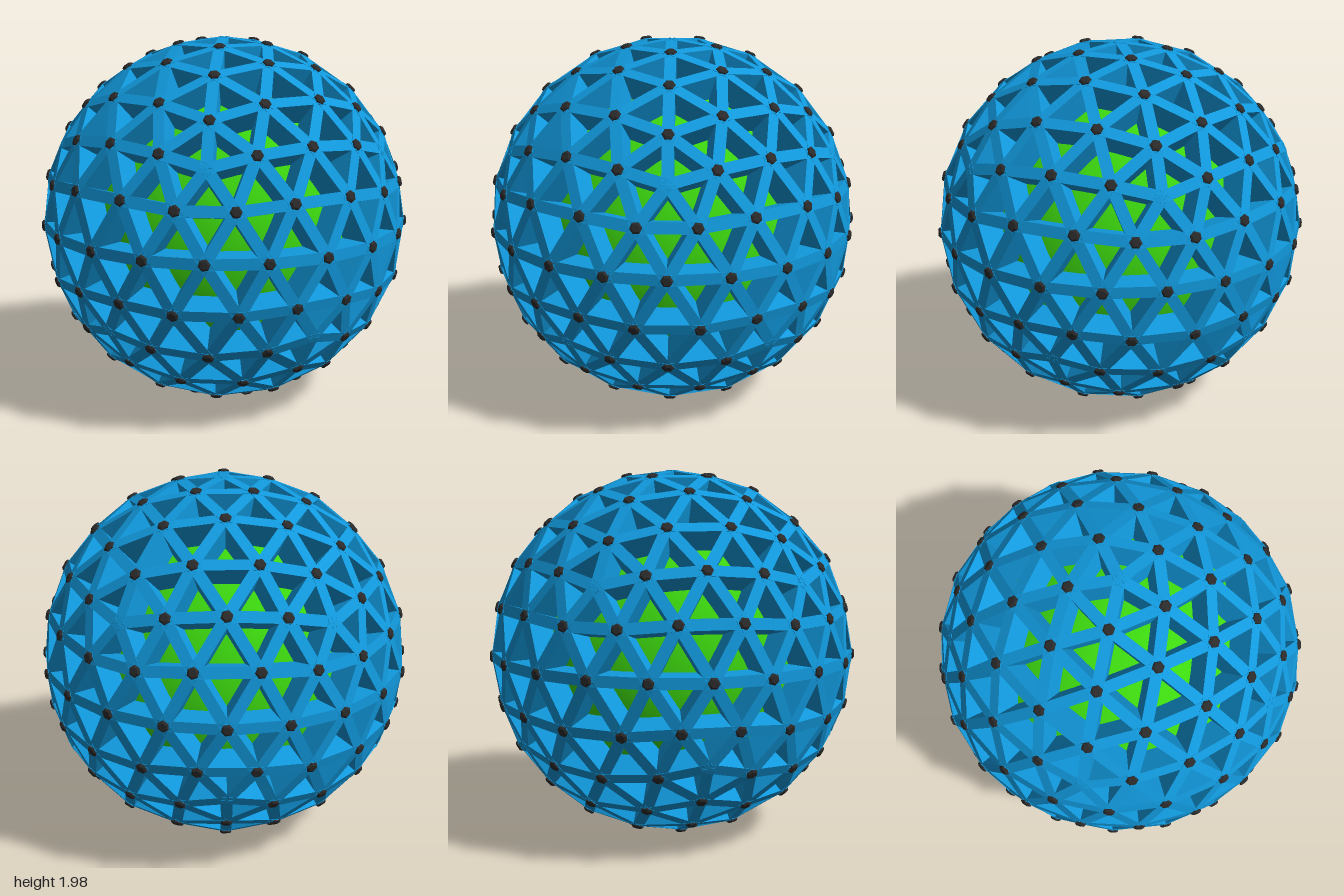
import * as THREE from 'three';
import { mergeGeometries } from 'three/addons/utils/BufferGeometryUtils.js';

const RADIUS = 0.988;      // outer face of the struts at the joints
const FREQ = 4;            // subdivisions per icosahedron edge
const STRUT_WIDTH = 0.058;
const STRUT_DEPTH = 0.15;
const CORE_RADIUS = 0.84;
const CENTRE_Y = 0.99;

// Triangles of an icosahedron standing on one corner
function icosahedronFaces() {
  const ring = (lat, turn) => Array.from({ length: 5 }, (_, i) => {
    const a = (i + turn) * Math.PI * 0.4;
    return new THREE.Vector3(Math.cos(lat) * Math.cos(a), Math.sin(lat), -Math.cos(lat) * Math.sin(a));
  });
  const lat = Math.atan(0.5);
  const top = new THREE.Vector3(0, 1, 0), bottom = new THREE.Vector3(0, -1, 0);
  const U = ring(lat, 0), L = ring(-lat, 0.5);
  const faces = [];
  for (let i = 0; i < 5; i++) {
    const j = (i + 1) % 5;
    faces.push([top, U[i], U[j]], [U[i], L[i], U[j]], [L[i], L[j], U[j]], [bottom, L[j], L[i]]);
  }
  return faces;
}

// Shared joints and edges of the subdivided sphere
function geodesicGrid() {
  const joints = new Map(), edges = new Map();
  const key = (v) => v.toArray().map((n) => Math.round(n * 1000) + 0).join(',');
  for (const [a, b, c] of icosahedronFaces()) {
    const at = (i, j) => {
      const p = new THREE.Vector3()
        .addScaledVector(a, (FREQ - i - j) / FREQ)
        .addScaledVector(b, i / FREQ)
        .addScaledVector(c, j / FREQ)
        .normalize();
      const k = key(p);
      const corner = (i === 0 && j === 0) || i === FREQ || j === FREQ;
      if (!joints.has(k)) joints.set(k, { p, corner });
      return k;
    };
    const link = (k1, k2) => edges.set([k1, k2].sort().join('|'), [joints.get(k1).p, joints.get(k2).p]);
    for (let i = 0; i < FREQ; i++) {
      for (let j = 0; j < FREQ - i; j++) {
        const p = at(i, j), q = at(i + 1, j), r = at(i, j + 1);
        link(p, q);
        link(q, r);
        link(r, p);
      }
    }
  }
  return { joints: [...joints.values()], edges: [...edges.values()] };
}

// Deep radial plank between two joints
function strutGeometry([p, q]) {
  const along = q.clone().sub(p);
  const length = along.length() * RADIUS;
  along.normalize();
  const out = p.clone().add(q).normalize();
  const side = new THREE.Vector3().crossVectors(along, out);
  const centre = p.clone().add(q).multiplyScalar(RADIUS / 2).addScaledVector(out, -STRUT_DEPTH / 2);
  return new THREE.BoxGeometry(length, STRUT_DEPTH, STRUT_WIDTH)
    .applyMatrix4(new THREE.Matrix4().makeBasis(along, out, side).setPosition(centre));
}

// Six-sided bolt head with a bevelled rim
function boltGeometry(p) {
  const profile = [[0.031, -0.02], [0.031, 0.005], [0.021, 0.012], [0, 0.012]]
    .map(([x, y]) => new THREE.Vector2(x, y));
  const turn = new THREE.Quaternion().setFromUnitVectors(new THREE.Vector3(0, 1, 0), p);
  return new THREE.LatheGeometry(profile, 6)
    .applyQuaternion(turn)
    .translate(p.x * RADIUS, p.y * RADIUS, p.z * RADIUS);
}

export function createModel() {
  const model = new THREE.Group();
  model.name = 'geodesicSphere';
  const { joints, edges } = geodesicGrid();

  const add = (name, geometry, color, flatShading) => {
    const mesh = new THREE.Mesh(geometry, new THREE.MeshStandardMaterial({ color, flatShading }));
    mesh.name = name;
    mesh.position.y = CENTRE_Y;
    model.add(mesh);
  };

  add('struts', mergeGeometries(edges.map(strutGeometry)), 0x1199dd, true);
  // Five-way joints carry no bolt
  add('bolts', mergeGeometries(joints.filter((j) => !j.corner).map((j) => boltGeometry(j.p))), 0x2b2b2b, true);
  add('innerSphere', new THREE.SphereGeometry(CORE_RADIUS, 64, 40), 0x3dd90f, false);
  return model;
}
